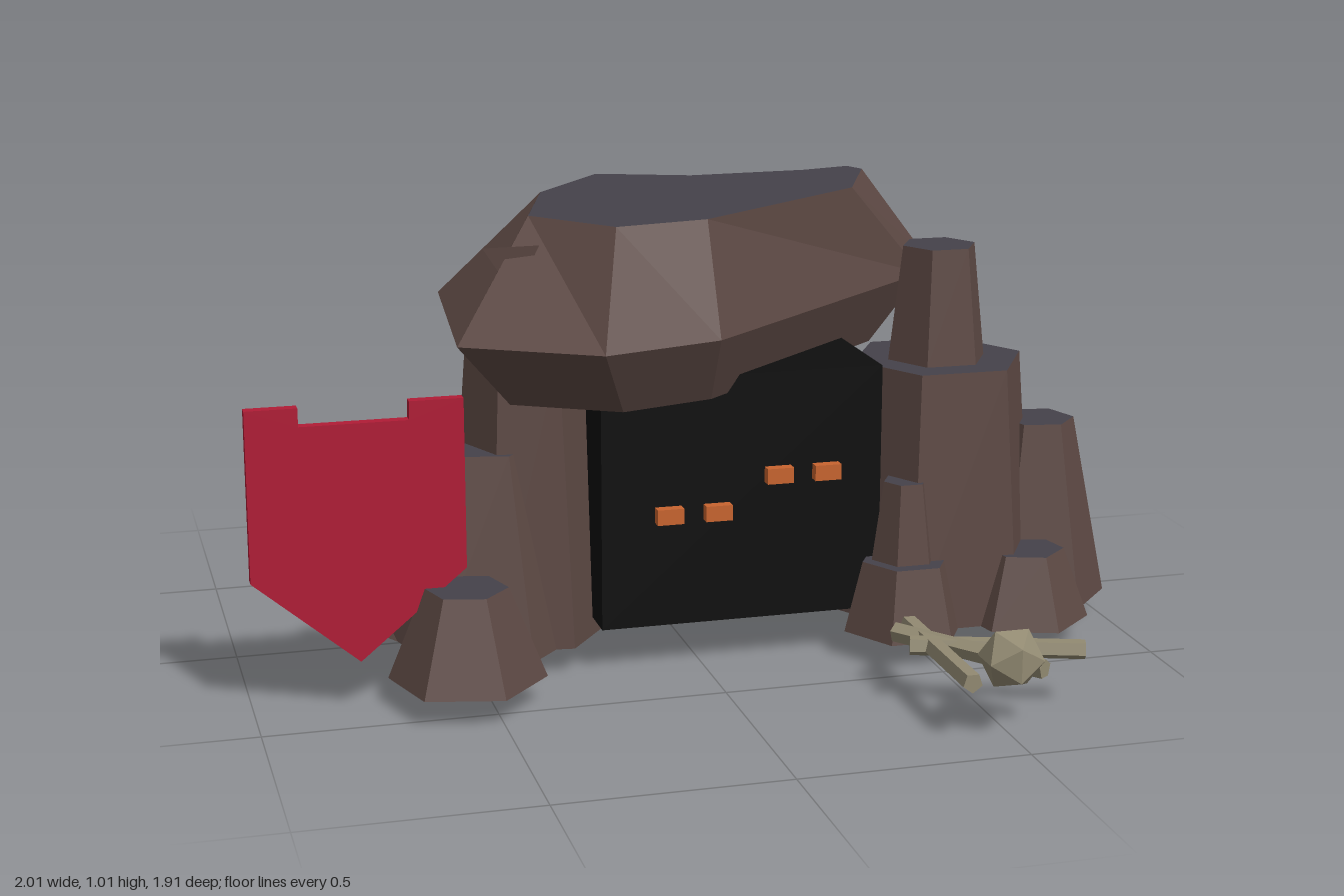
import * as THREE from 'three';

const mat = (color) => new THREE.MeshStandardMaterial({ color, flatShading: true });
const rock = mat(0x5c4843), slate = mat(0x45424a), dark = mat(0x0e0e0e);
const cloth = mat(0xb01c36), ember = mat(0xc8642f), bone = mat(0x928a72);

// Stacked outlines [y, [[x, z], ...]] joined into a faceted solid with a slate top
function loft(layers) {
  const n = layers[0][1].length;
  const flip = THREE.ShapeUtils.area(layers[0][1].map(([x, z]) => new THREE.Vector2(x, z))) < 0;
  const rings = layers.map(([y, pts]) => {
    const r = pts.map(([x, z]) => new THREE.Vector3(x, y, z));
    return flip ? r.reverse() : r;
  });
  const pos = [];
  const tri = (a, b, c) => [a, b, c].forEach((p) => pos.push(p.x, p.y, p.z));
  for (let k = 0; k + 1 < rings.length; k++) {
    for (let i = 0; i < n; i++) {
      const j = (i + 1) % n, lo = rings[k], hi = rings[k + 1];
      tri(lo[i], hi[i], hi[j]);
      tri(lo[i], hi[j], lo[j]);
    }
  }
  const cap = (ring, up) => {
    const flat = ring.map((p) => new THREE.Vector2(p.x, p.z));
    for (const [a, b, c] of THREE.ShapeUtils.triangulateShape(flat, [])) {
      const area = THREE.ShapeUtils.area([flat[a], flat[b], flat[c]]);
      if ((area < 0) === up) tri(ring[a], ring[b], ring[c]);
      else tri(ring[a], ring[c], ring[b]);
    }
  };
  cap(rings[0], false);
  const split = pos.length / 3;
  cap(rings[rings.length - 1], true);
  const g = new THREE.BufferGeometry();
  g.setAttribute('position', new THREE.Float32BufferAttribute(pos, 3));
  g.addGroup(0, split, 0);
  g.addGroup(split, pos.length / 3 - split, 1);
  g.computeVertexNormals();
  return g;
}

const scaled = (pts, f, cx, cz) => pts.map(([x, z]) => [cx + (x - cx) * f, cz + (z - cz) * f]);

export function createModel() {
  const model = new THREE.Group();
  const add = (name, geo, material, x = 0, y = 0, z = 0, parent = model) => {
    const m = new THREE.Mesh(geo, material);
    m.name = name;
    m.position.set(x, y, z);
    parent.add(m);
    return m;
  };

  // Large boulder behind the cave
  const girth = [[0.76, -0.48], [0.54, -0.81], [-0.17, -0.96], [-0.34, -0.79],
    [-0.21, -0.47], [-0.55, 0], [-0.1, 0.11], [0.68, -0.16]];
  add('backBoulder', loft([
    [0, scaled(girth, 0.83, 0.1, -0.42)], [0.2, girth], [0.35, girth],
    [0.64, scaled(girth, 0.62, 0.1, -0.42)],
  ]), [rock, slate]);

  // Overhanging roof boulder
  const eaves = [[-0.49, -0.2], [-0.15, -0.46], [0.11, -0.35], [0.48, -0.38], [0.67, -0.42],
    [0.73, -0.25], [0.66, -0.12], [0, 0.45], [-0.27, 0.53], [-0.55, 0.37]];
  const crown = [[-0.27, -0.09], [-0.09, -0.31], [0.12, -0.23], [0.4, -0.24], [0.52, -0.27],
    [0.54, -0.22], [0.43, 0.03], [0, 0.34], [-0.21, 0.38], [-0.36, 0.2]];
  add('roofBoulder', loft([
    [0.62, scaled(eaves, 0.78, 0.02, 0.03)], [0.77, eaves], [1.01, crown],
  ]), [rock, slate]);
  const chip = add('roofChip', new THREE.TetrahedronGeometry(0.075), rock, -0.4, 0.92, 0.24);
  chip.rotation.set(0.4, 0.5, 0.3);

  // Dark cave interior with glowing eyes
  add('caveInterior', new THREE.BoxGeometry(0.64, 0.56, 0.4), dark, 0.09, 0.38, 0.115);
  for (const [x, y] of [[-0.08, 0.355], [0.03, 0.355], [0.17, 0.43], [0.28, 0.43]]) {
    add('eye', new THREE.BoxGeometry(0.06, 0.035, 0.03), ember, x, y, 0.325);
  }

  // Tapered six-sided rocks: x, z, bottom y, top y, bottom radius, top radius, turn
  const sides = {
    rightRocks: [
      [-0.5, -0.05, 0.06, 0.15, 0.28, 0.21, 0.52],
      [-0.46, 0.16, 0.06, 0.5, 0.22, 0.12, 0.3],
      [-0.36, 0.14, 0.06, 0.72, 0.18, 0.13, 0.4],
      [-0.55, 0.42, 0.06, 0.26, 0.17, 0.09, 0.3],
    ],
    leftRocks: [
      [0.59, 0.18, 0.06, 0.64, 0.25, 0.2, 0.52],
      [0.585, 0.185, 0.64, 0.9, 0.115, 0.085, 0.52],
      [0.74, 0.01, 0.06, 0.36, 0.22, 0.165, 0.52],
      [0.84, 0.18, 0.06, 0.48, 0.17, 0.085, 0.3],
      [0.75, 0.34, 0.06, 0.22, 0.15, 0.09, 0.2],
      [0.46, 0.35, 0.06, 0.22, 0.14, 0.1, 0.52],
      [0.46, 0.34, 0.22, 0.4, 0.075, 0.05, 0.52],
    ],
  };
  for (const [name, list] of Object.entries(sides)) {
    const group = new THREE.Group();
    group.name = name;
    model.add(group);
    for (const [x, z, y0, y1, r0, r1, turn] of list) {
      const g = new THREE.CylinderGeometry(r1, r0, y1 - y0, 6);
      add('rock', g, [rock, slate, slate], x, (y0 + y1) / 2, z, group).rotation.y = turn;
    }
  }

  // Pointed banner with a notched top edge
  const outline = [[-1, 0.67], [-1, 0.3], [-0.775, 0.11], [-0.545, 0.3], [-0.545, 0.67],
    [-0.66, 0.67], [-0.66, 0.63], [-0.89, 0.63], [-0.89, 0.67]];
  const shape = new THREE.Shape(outline.map(([x, y]) => new THREE.Vector2(x, y)));
  add('banner', new THREE.ExtrudeGeometry(shape, { depth: 0.025, bevelEnabled: false }), cloth, 0, 0, 0.38);

  // Pile of sticks and a round bone by the entrance
  const sticks = [[0.405, 0.53, 0.405, 0.91], [0.36, 0.57, 0.58, 0.87], [0.36, 0.66, 0.71, 0.78]];
  for (const [x0, z0, x1, z1] of sticks) {
    const dir = new THREE.Vector3(x1 - x0, 0, z1 - z0);
    const g = new THREE.CylinderGeometry(0.022, 0.022, dir.length(), 5);
    add('stick', g, bone, (x0 + x1) / 2, 0.13, (z0 + z1) / 2)
      .quaternion.setFromUnitVectors(new THREE.Vector3(0, 1, 0), dir.normalize());
  }
  add('roundBone', new THREE.IcosahedronGeometry(0.07), bone, 0.495, 0.17, 0.89);

  return model;
}
